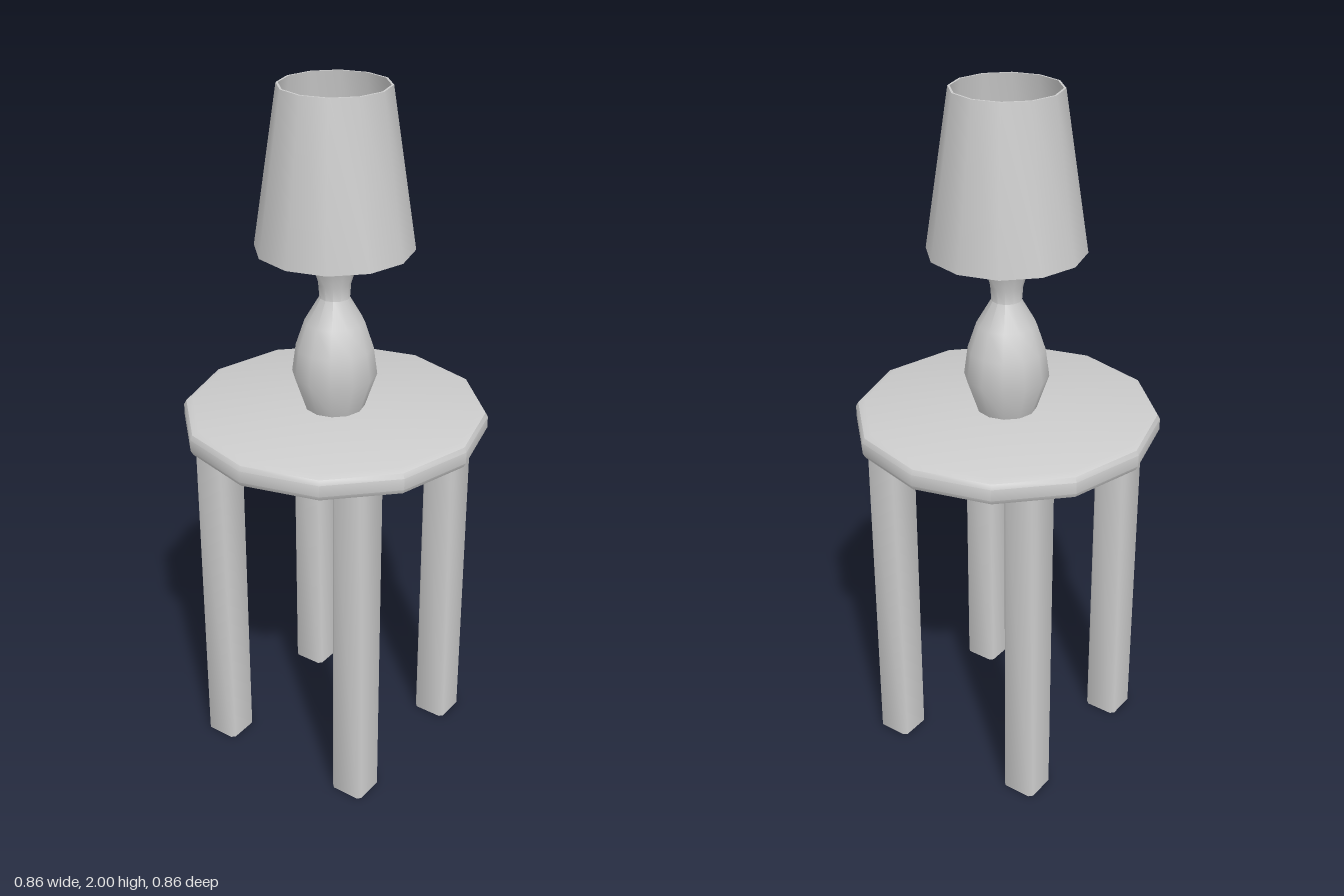
import * as THREE from 'three';
import { toCreasedNormals } from 'three/addons/utils/BufferGeometryUtils.js';

const SIDES = 12;

export function createModel() {
  const group = new THREE.Group();
  const material = new THREE.MeshStandardMaterial({ color: 0xcccccc });

  const add = (name, geometry) => {
    const mesh = new THREE.Mesh(geometry, material);
    mesh.name = name;
    group.add(mesh);
    return mesh;
  };

  // Turned part from [radius, height] pairs, listed bottom to top on the outside
  const turned = (name, profile, crease = 0.7) => {
    const points = profile.map(([r, y]) => new THREE.Vector2(r, y));
    return add(name, toCreasedNormals(new THREE.LatheGeometry(points, SIDES), crease));
  };

  // Tabletop with softened rim
  turned('tableTop', [
    [0, 1.025], [0.405, 1.025], [0.424, 1.033], [0.431, 1.046],
    [0.431, 1.079], [0.424, 1.092], [0.405, 1.1], [0, 1.1],
  ], 0.55);

  // Square legs with small chamfered corners
  const h = 0.051, c = 0.01;
  const section = new THREE.Shape([
    [h - c, -h], [h, -h + c], [h, h - c], [h - c, h],
    [-h + c, h], [-h, h - c], [-h, -h + c], [-h + c, -h],
  ].map(([x, y]) => new THREE.Vector2(x, y)));
  const legGeometry = new THREE.ExtrudeGeometry(section, { depth: 1.027, bevelEnabled: false });
  legGeometry.rotateX(-Math.PI / 2);
  const legs = toCreasedNormals(legGeometry, 0.9);
  for (const [sz, front] of [[1, 'front'], [-1, 'back']]) {
    for (const [sx, side] of [[1, 'Left'], [-1, 'Right']]) {
      add(`${front}${side}Leg`, legs).position.set(sx * 0.23 - 0.003, 0, sz * 0.237 + 0.003);
    }
  }

  // Vase-shaped lamp body with flared lip
  turned('lampBody', [
    [0, 1.1], [0.085, 1.1], [0.119, 1.2], [0.108, 1.28], [0.083, 1.355],
    [0.042, 1.425], [0.045, 1.465], [0.064, 1.53], [0.068, 1.537], [0.067, 1.553], [0, 1.553],
  ]);

  // Bulb socket
  turned('lampSocket', [[0, 1.55], [0.036, 1.55], [0.036, 1.575], [0.03, 1.58], [0, 1.58]]);

  // Open tapered shade with a thin wall
  turned('lampShade', [
    [0.211, 1.566], [0.217, 1.566], [0.15, 2], [0.144, 2], [0.211, 1.566],
  ]);

  return group;
}
